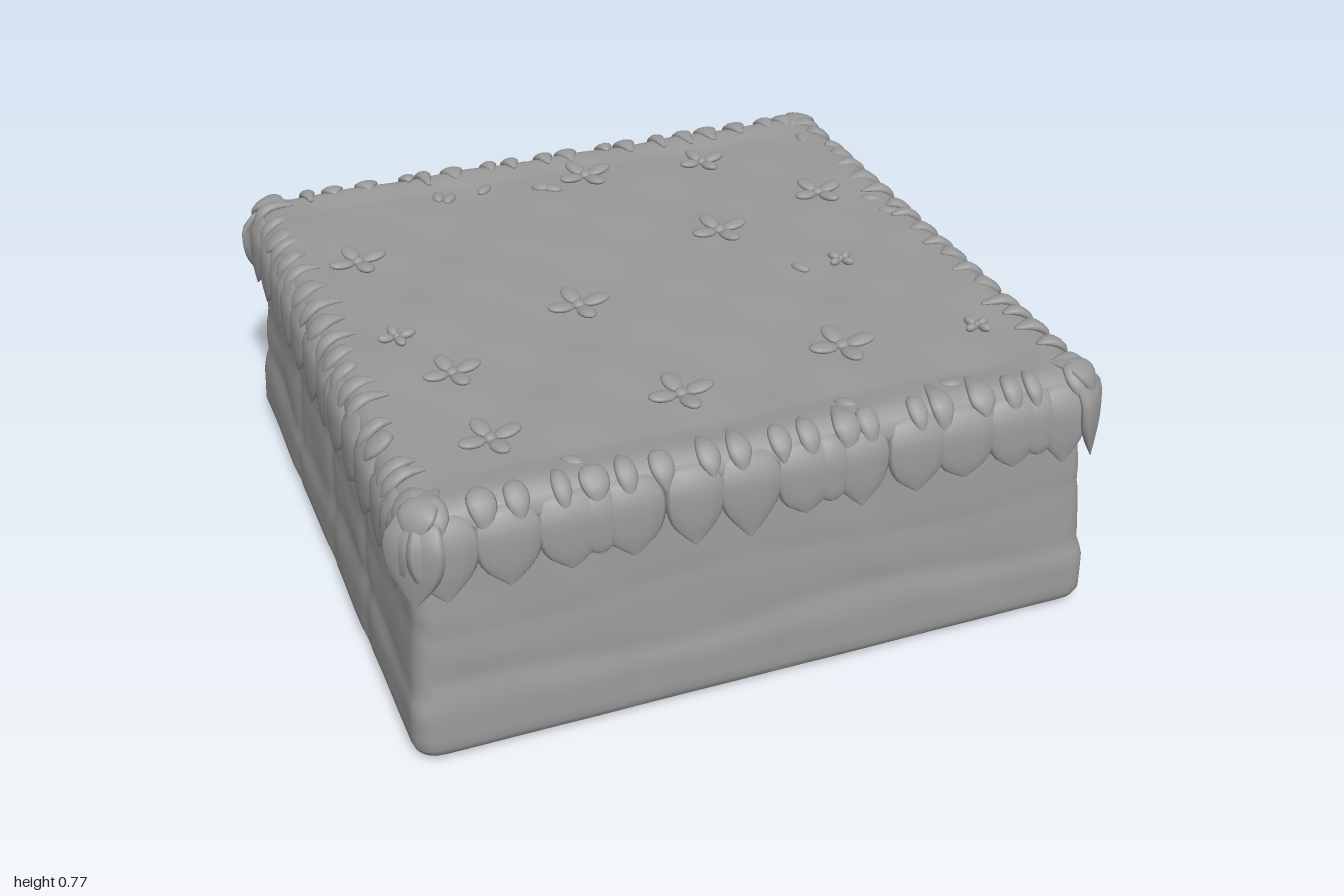
import * as THREE from 'three';

const stone = new THREE.MeshStandardMaterial({ color: 0x999999 });
stone.name = 'plain grey';

let seed = 7;
const rand = () => (seed = (seed * 16807) % 2147483647) / 2147483647;
const vary = (a) => (rand() * 2 - 1) * a;

// Closed smooth skin over rings that run counterclockwise about the travel direction
function loft(rings) {
  const n = rings[0].length, pos = [], idx = [];
  rings.forEach((ring) => ring.forEach((p) => pos.push(p.x, p.y, p.z)));
  for (let i = 0; i < rings.length - 1; i++) {
    for (let j = 0; j < n; j++) {
      const a = i * n + j, b = i * n + (j + 1) % n;
      idx.push(a, b, a + n, b, b + n, a + n);
    }
  }
  [rings[0], rings[rings.length - 1]].forEach((ring, end) => {
    const c = ring.reduce((s, p) => s.add(p), new THREE.Vector3()).divideScalar(n);
    const ci = pos.length / 3, o = end ? (rings.length - 1) * n : 0;
    pos.push(c.x, c.y, c.z);
    for (let j = 0; j < n; j++) {
      const a = o + j, b = o + (j + 1) % n;
      idx.push(ci, end ? a : b, end ? b : a);
    }
  });
  const g = new THREE.BufferGeometry();
  g.setAttribute('position', new THREE.Float32BufferAttribute(pos, 3));
  g.setIndex(idx);
  g.computeVertexNormals();
  return g;
}

// Rounded rectangle at height y
function section(hx, hz, r, y, edge = 60, arc = 6) {
  const pts = [];
  const corner = (k, t) => {
    k %= 4;
    const a = (k + t) * Math.PI / 2;
    const sx = k === 0 || k === 3 ? 1 : -1, sz = k < 2 ? -1 : 1;
    return new THREE.Vector3(sx * (hx - r) + r * Math.cos(a), y, sz * (hz - r) - r * Math.sin(a));
  };
  for (let k = 0; k < 4; k++) {
    for (let i = 0; i <= arc; i++) pts.push(corner(k, i / arc));
    const a = corner(k, 1), b = corner(k + 1, 0);
    for (let i = 1; i < edge; i++) pts.push(a.clone().lerp(b, i / edge));
  }
  return pts;
}

// Block from a [half width, height] profile, with every point moved by a rule
function block(profile, steps, radius, rule) {
  const curve = new THREE.CurvePath();
  for (let i = 1; i < profile.length; i++) {
    curve.add(new THREE.LineCurve(new THREE.Vector2(...profile[i - 1]), new THREE.Vector2(...profile[i])));
  }
  return loft(curve.getSpacedPoints(steps).map(({ x: h, y }) => {
    const hz = h * 0.977;
    return section(h, hz, Math.min(radius, hz * 0.5), y).map(rule);
  }));
}

const lump = (x, y, z) =>
  Math.sin(7 * x + 3 * z + 2 * y) * Math.sin(5 * z - 4 * y + 1) * 0.6 +
  Math.sin(17 * x + 9 * y) * Math.sin(15 * z + 11 * y + 2) * 0.4;

// Soft dents along the joints of the stonework
const groove = (d, w) => Math.exp(-((d / w) ** 2));
function stoneRule(p) {
  const { x, y, z } = p;
  const along = Math.abs(x) > Math.abs(z) ? z : x;
  let g = 0.006 * groove(y - 0.23 - 0.02 * Math.sin(6 * along), 0.025);
  g += 0.004 * groove(y - 0.4 - 0.02 * Math.sin(5 * along + 2), 0.025);
  for (const c of [-0.4, 0.02, 0.42]) g += 0.007 * groove(along - c - 0.03 * Math.sin(9 * y + c), 0.03);
  const side = y > 0.04 ? 1 : 0;
  const s = 1 - g * side + 0.005 * lump(x, y, z);
  p.set(x * s, y + (side ? 0 : 0.004 + 0.004 * lump(x, 0, z)), z * s);
  return p;
}

function grassRule(p) {
  p.y += 0.007 * lump(p.x, 0, p.z);
  return p;
}

// Tapered leaf: path points are [outward, height], widths and thickness are half sizes
function leaf(x, z, angle, path, widths, thick) {
  const n = new THREE.Vector3(Math.sin(angle), 0, Math.cos(angle));
  const s = new THREE.Vector3(Math.cos(angle), 0, -Math.sin(angle));
  const up = new THREE.Vector3(0, 1, 0), base = new THREE.Vector3(x, 0, z);
  const curve = new THREE.SplineCurve(path.map((p) => new THREE.Vector2(...p)));
  const wide = new THREE.SplineCurve(widths.map((w, i) => new THREE.Vector2(i, w)));
  const rings = [], steps = 9;
  for (let i = 0; i <= steps; i++) {
    const t = i / steps, c = curve.getPoint(t), d = curve.getTangent(t);
    const w = Math.max(wide.getPoint(t).y, 0.002);
    const th = thick * Math.min(1, w / widths[1]);
    const ring = [];
    for (let j = 0; j < 12; j++) {
      const a = j / 12 * Math.PI * 2, o = th * Math.sin(a);
      ring.push(base.clone().addScaledVector(s, w * Math.cos(a))
        .addScaledVector(n, c.x - d.y * o).addScaledVector(up, c.y + d.x * o));
    }
    rings.push(ring);
  }
  return loft(rings);
}

export function createModel() {
  const model = new THREE.Group();
  model.name = 'grassyBlock';
  const add = (parent, name, geometry) => {
    const m = new THREE.Mesh(geometry, stone);
    m.name = name;
    parent.add(m);
    return m;
  };
  const group = (name) => {
    const g = new THREE.Group();
    g.name = name;
    model.add(g);
    return g;
  };

  // Tapered stone body and the turf on top
  add(model, 'stoneBody', block([[0.03, 0.012], [0.5, 0.012], [0.93, 0.006], [0.965, 0.018], [0.978, 0.05],
    [0.975, 0.16], [0.96, 0.26], [0.95, 0.4], [0.938, 0.52], [0.925, 0.66]], 60, 0.06, stoneRule));
  add(model, 'grassTop', block([[0.9, 0.6], [0.945, 0.61], [0.958, 0.66], [0.953, 0.71], [0.935, 0.745],
    [0.9, 0.763], [0.86, 0.76], [0.8, 0.752], [0.5, 0.752], [0.03, 0.752]], 60, 0.09, grassRule));

  // Hanging fringe and the smaller leaves folded over the rim
  const fringe = group('leafFringe'), rim = group('rimLeaves');
  const hang = (x, z, a, w, tip) => add(fringe, 'fringeLeaf', leaf(x, z, a,
    [[-0.035, 0.735], [-0.006, 0.69], [0, 0.63], [0.006, 0.575], [0.014, tip]],
    [w * 0.7, w, w, w * 0.72, 0.003], 0.02));
  const fold = (x, z, a, w, tip, back) => add(rim, 'rimLeaf', leaf(x, z, a,
    [[-back, 0.762], [-0.055, 0.764], [-0.018, 0.738], [0.004, tip]],
    [0.006, w, w * 1.05, 0.004], 0.014));

  for (let k = 0; k < 4; k++) {
    const a = k * Math.PI / 2, out = k % 2 ? 0.962 : 0.942, len = k % 2 ? 0.83 : 0.85;
    const at = (t) => [out * Math.sin(a) + t * Math.cos(a), out * Math.cos(a) - t * Math.sin(a), a];
    for (let i = 0; i < 12; i++) {
      const t = (i / 11 * 2 - 1) * len + vary(0.02);
      hang(...at(t), 0.083 + vary(0.008), 0.525 + vary(0.02));
      if (i % 4 === 2) hang(...at(t + 0.075), 0.05, 0.56);
    }
    for (let i = 0; i < 19; i++) {
      const t = (i / 18 * 2 - 1) * (len + 0.02) + vary(0.025);
      fold(...at(t), 0.028 + vary(0.007), 0.695 + vary(0.02), 0.1 + vary(0.025));
    }
    // Corner leaves
    const c = a + Math.PI / 4, cx = Math.sign(Math.sin(c)) * 0.94, cz = Math.sign(Math.cos(c)) * 0.92;
    hang(cx, cz, c, 0.085, 0.5);
    fold(cx, cz, c, 0.045, 0.68, 0.13);
  }

  // Four-petalled flowers: x, z, size, turn
  const flowers = group('flowers');
  const petal = new THREE.SphereGeometry(1, 14, 10);
  [[0.08, -0.72, 0.095, 0.3], [0.47, -0.69, 0.08, 0.2], [-0.74, -0.4, 0.09, 0.2], [0.72, -0.34, 0.09, 0.3],
    [0.33, -0.21, 0.095, 0.2], [-0.22, 0.07, 0.095, 0.1], [-0.75, 0.08, 0.055, 0.1], [0.59, 0.09, 0.045, 0.5],
    [-0.66, 0.31, 0.085, 0.2], [-0.66, 0.65, 0.09, 0.2], [-0.13, 0.62, 0.095, 0.1], [0.37, 0.55, 0.1, 0.05],
    [0.77, 0.58, 0.045, 0.4]].forEach(([x, z, r, turn]) => {
    const flower = new THREE.Group();
    flower.name = 'flower';
    flower.position.set(x, 0.757 + 0.007 * lump(x, 0, z), z);
    for (let i = 0; i < 4; i++) {
      const a = turn + i * Math.PI / 2, p = add(flower, 'petal', petal);
      p.position.set(Math.cos(a) * r * 0.57, 0.005, -Math.sin(a) * r * 0.57);
      p.rotation.set(0, a, 0.12);
      p.scale.set(r * 0.44, 0.012, r * 0.27);
    }
    add(flower, 'flowerCentre', petal).scale.set(r * 0.2, 0.014, r * 0.2);
    flowers.add(flower);
  });

  // Loose tufts on the turf
  const tufts = group('tufts');
  [[-0.4, -0.74], [-0.37, -0.72], [-0.25, -0.74], [-0.08, -0.68], [-0.05, -0.66], [0.46, 0.09],
    [0.85, -0.74], [0.86, -0.25], [0.87, -0.15], [-0.5, 0.82], [0.25, 0.82], [0.55, 0.83]].forEach(([x, z]) => {
    const t = add(tufts, 'tuft', petal);
    t.position.set(x, 0.755 + 0.007 * lump(x, 0, z), z);
    t.rotation.y = rand() * 3;
    t.scale.set(0.032, 0.012, 0.018);
  });
  return model;
}
